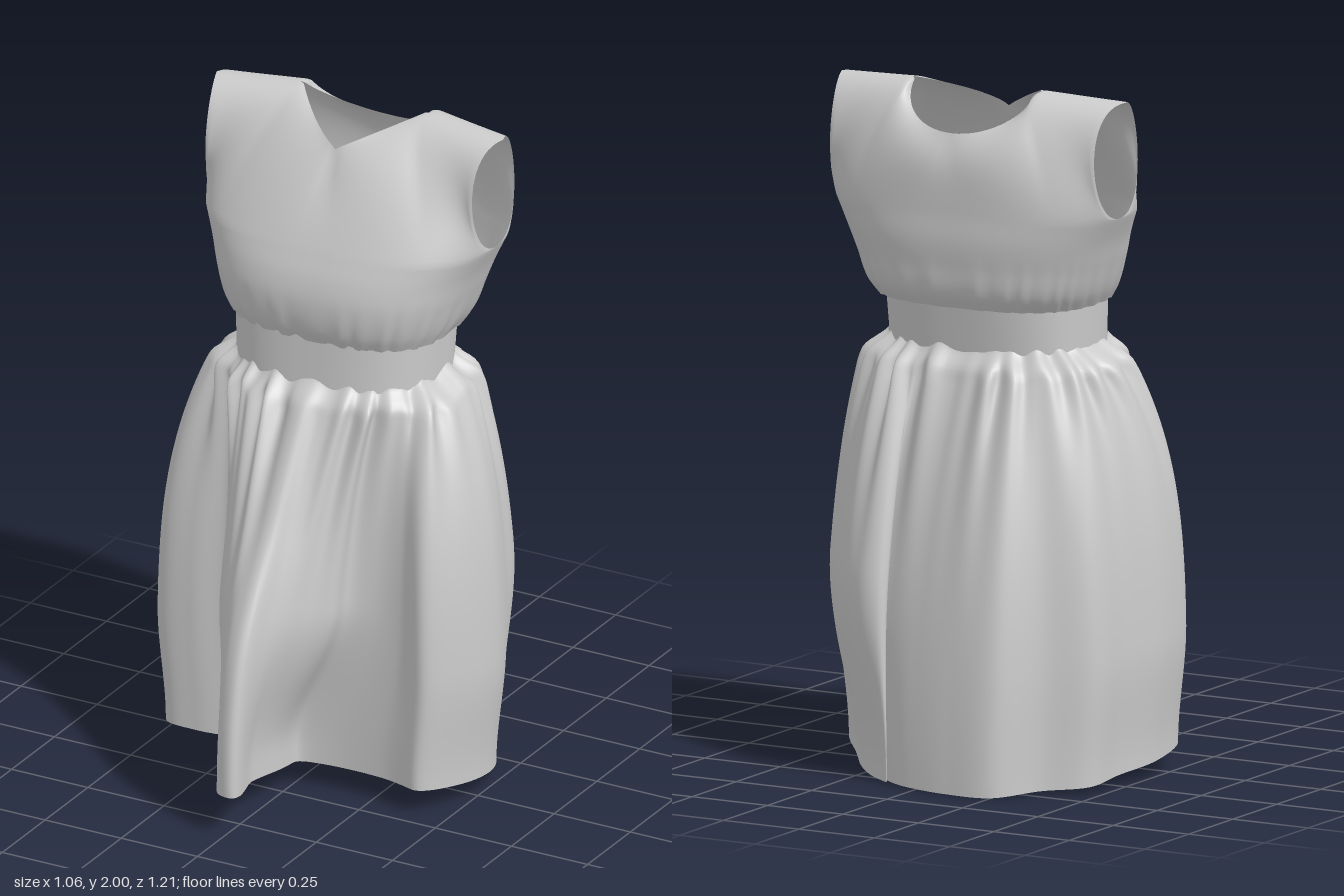
import * as THREE from 'three';
import { mergeGeometries, mergeVertices } from 'three/addons/utils/BufferGeometryUtils.js';

const { lerp, smoothstep } = THREE.MathUtils;
const TAU = Math.PI * 2;
const pw = (n, e) => Math.sign(n) * Math.abs(n) ** e;

// Grid surface: fn(u, v) -> [x, y, z]; u runs anticlockwise from above, v runs up
function surface(nu, nv, fn, closed) {
  const pos = [], idx = [], cols = closed ? nu : nu + 1;
  for (let j = 0; j <= nv; j++)
    for (let i = 0; i < cols; i++) pos.push(...fn(i / nu, j / nv));
  for (let j = 0; j < nv; j++)
    for (let i = 0; i < nu; i++) {
      const a = j * cols + i, b = j * cols + (i + 1) % cols;
      idx.push(a, b, a + cols, b, b + cols, a + cols);
    }
  const g = new THREE.BufferGeometry();
  g.setAttribute('position', new THREE.Float32BufferAttribute(pos, 3));
  g.setIndex(idx);
  return g;
}

// Rounded body section; t = 0 at the centre front, PI / 2 on the left side
function section(t, y, w, front, back, zc, grow = 0) {
  const c = Math.cos(t), d = (c > 0 ? front - zc : zc - back) + grow;
  return [(w + grow) * pw(Math.sin(t), 0.75), y, zc + d * pw(c, 0.75)];
}

// Gather noise round the body, periodic in t
const gather = (t, n) => 0.6 * Math.sin(n * t + 1.3 * Math.sin(3 * t)) +
  0.4 * Math.sin((n * 2 - 13) * t + 2 * Math.sin(2 * t + 1));

// Lower bodice: half width, front z, back z, centre z at each height
const ARM_Y = 1.645;
const rows = new THREE.CubicInterpolant(
  [1.37, 1.41, 1.5, 1.57, ARM_Y],
  [0.33, 0.11, -0.38, -0.13,
    0.355, 0.128, -0.405, -0.15,
    0.39, 0.138, -0.42, -0.17,
    0.415, 0.125, -0.427, -0.19,
    0.45, 0.095, -0.425, -0.2], 4);
function bodiceRing(t, y) {
  const [w, f, b, zc] = rows.evaluate(y);
  const fade = 1 - smoothstep(y, 1.38, 1.54);
  return section(t, y, w, f, b, zc, 0.006 * fade * gather(t, 31));
}

// Upper bodice panel: columns run from underarm level to the neckline or shoulder
function upperPanel(dir) {
  const S = 0.45; // share of the panel taken by the neckline
  return surface(64, 24, (u, v) => {
    const s = Math.abs(u * 2 - 1);
    const t = (dir > 0 ? 0 : Math.PI) + (u - 0.5) * Math.PI;
    const side = dir * Math.sign(u - 0.5);
    const B = bodiceRing(t, ARM_Y);
    const m = Math.min(1, s / S), k = Math.max(0, (s - S) / (1 - S));
    let N;
    if (k > 0) N = [lerp(0.205, 0.47, k), lerp(2, 1.985, k), lerp(-0.235, -0.2, k)];
    else if (dir > 0) N = [0.205 * m, 1.905 + 0.095 * m ** 0.85, -0.057 - 0.178 * m ** 1.5];
    else {
      const a = m * Math.PI / 2;
      N = [0.205 * Math.sin(a), 2 - 0.12 * Math.cos(a), -0.235 - 0.148 * Math.cos(a)];
    }
    N[0] *= side;
    const e = s ** 4;
    const c1 = [B[0], B[1] + 0.13 * (1 - e), B[2] + dir * 0.165 * e - (dir > 0 ? 0.06 * (1 - e) : 0)];
    const c2 = [N[0] - side * 0.06 * s * s, N[1] - 0.09 * (1 - m), N[2] + dir * (0.04 + 0.085 * m + 0.04 * e)];
    const w = 1 - v;
    return [0, 1, 2].map(i => w ** 3 * B[i] + 3 * w * w * v * c1[i] + 3 * w * v * v * c2[i] + v ** 3 * N[i]);
  });
}

function bodice() {
  const lower = surface(128, 22, (u, v) => bodiceRing(u * TAU, lerp(1.37, ARM_Y, v)), true);
  return mergeVertices(mergeGeometries([lower, upperPanel(1), upperPanel(-1)]), 1e-4);
}

// Skirt outline (x, z), starting at the tip of the front fold
const outline = new THREE.CatmullRomCurve3([
  [0.025, 0.6], [0.05, 0.5], [0.1, 0.37], [0.16, 0.28], [0.17, 0.2], [0.24, 0.165], [0.33, 0.165],
  [0.42, 0.2], [0.49, 0.1], [0.52, -0.06], [0.47, -0.22], [0.43, -0.34], [0.33, -0.49],
  [0.2, -0.595], [0.135, -0.59], [0.125, -0.56], [0.17, -0.54], [0.1, -0.56], [0.02, -0.585],
  [-0.1, -0.605], [-0.25, -0.595], [-0.35, -0.48],
  [-0.47, -0.39], [-0.49, -0.25], [-0.52, -0.08], [-0.47, 0.12], [-0.36, 0.14], [-0.24, 0.13],
  [-0.18, 0.2], [-0.18, 0.3], [-0.12, 0.43], [-0.055, 0.54], [-0.02, 0.59],
].map(([x, z]) => new THREE.Vector3(x, 0, z)), true);
outline.arcLengthDivisions = 1000;

// Skirt: gathered waist flaring into the draped hem
function skirt() {
  const n = 360, edge = outline.getSpacedPoints(n);
  return surface(n, 60, (u, up) => {
    const d = (1 - up) ** 1.4; // 0 at the waist, 1 at the hem
    const t = u * TAU, h = edge[Math.round(u * n)], c = Math.cos(t), s2 = 1 - c * c;
    const p = c > 0
      ? lerp(4.4, 1.6 + 0.5 * smoothstep(d, 0.3, 0.7), c * c)
      : lerp(4.4, 2.1, c * c);
    const f = 1 - (1 - d) ** p;
    const puff = (0.025 + 0.02 * s2) * smoothstep(d, 0, 0.05) * (1 - d) ** 2;
    const pleat = 0.022 * smoothstep(d, -0.01, 0.08) * (1 - d) ** 1.2 * gather(t, 23);
    const top = section(t, 1.25, 0.312, 0.115, -0.345, -0.12, puff + pleat + 0.003 * gather(t, 23));
    const low = 0.105 * (h.z + 0.605) / 1.2 + 0.04 * Math.max(0, h.z) ** 1.2;
    // The hem turns in at the sides, most of all at the back left
    const corner = 0.15 * smoothstep(d, 0.5, 1) * smoothstep((h.x - h.z) / Math.SQRT2, 0.44, 0.58);
    const tuck = (1 - 0.06 * smoothstep(d, 0.7, 1) * s2) * (1 - corner);
    // The front fold bulges at mid height, then its flanks draw in under it
    const pinch = (h.x > -0.015 ? 0.85 : 0.45) * smoothstep(d, 0.55, 0.95) *
      smoothstep(h.z, 0.08, 0.2) * (1 - smoothstep(h.z, 0.42, 0.6)) *
      (1 - smoothstep(Math.abs(h.x), 0.17, 0.4));
    return [
      lerp(lerp(top[0], h.x * 1.025, f) * tuck, -0.015, pinch),
      lerp(1.25 + 0.012 * gather(t, 17) * (1 - d), low, d),
      lerp(top[2], h.z, f) * (1 - corner),
    ];
  }, true);
}

// Plain fitted waistband
function waistband() {
  return surface(96, 6, (u, v) =>
    section(u * TAU, lerp(1.225, 1.39, v), lerp(0.31, 0.318, v),
      lerp(0.12, 0.11, v), lerp(-0.345, -0.368, v), -0.12), true);
}

export function createModel() {
  const model = new THREE.Group();
  model.name = 'dress';
  const cloth = new THREE.MeshStandardMaterial({ color: 0xcccccc, side: THREE.DoubleSide });
  for (const [name, build] of Object.entries({ bodice, waistband, skirt })) {
    const geometry = build();
    geometry.computeVertexNormals();
    const mesh = new THREE.Mesh(geometry, cloth);
    mesh.name = name;
    model.add(mesh);
  }
  return model;
}
